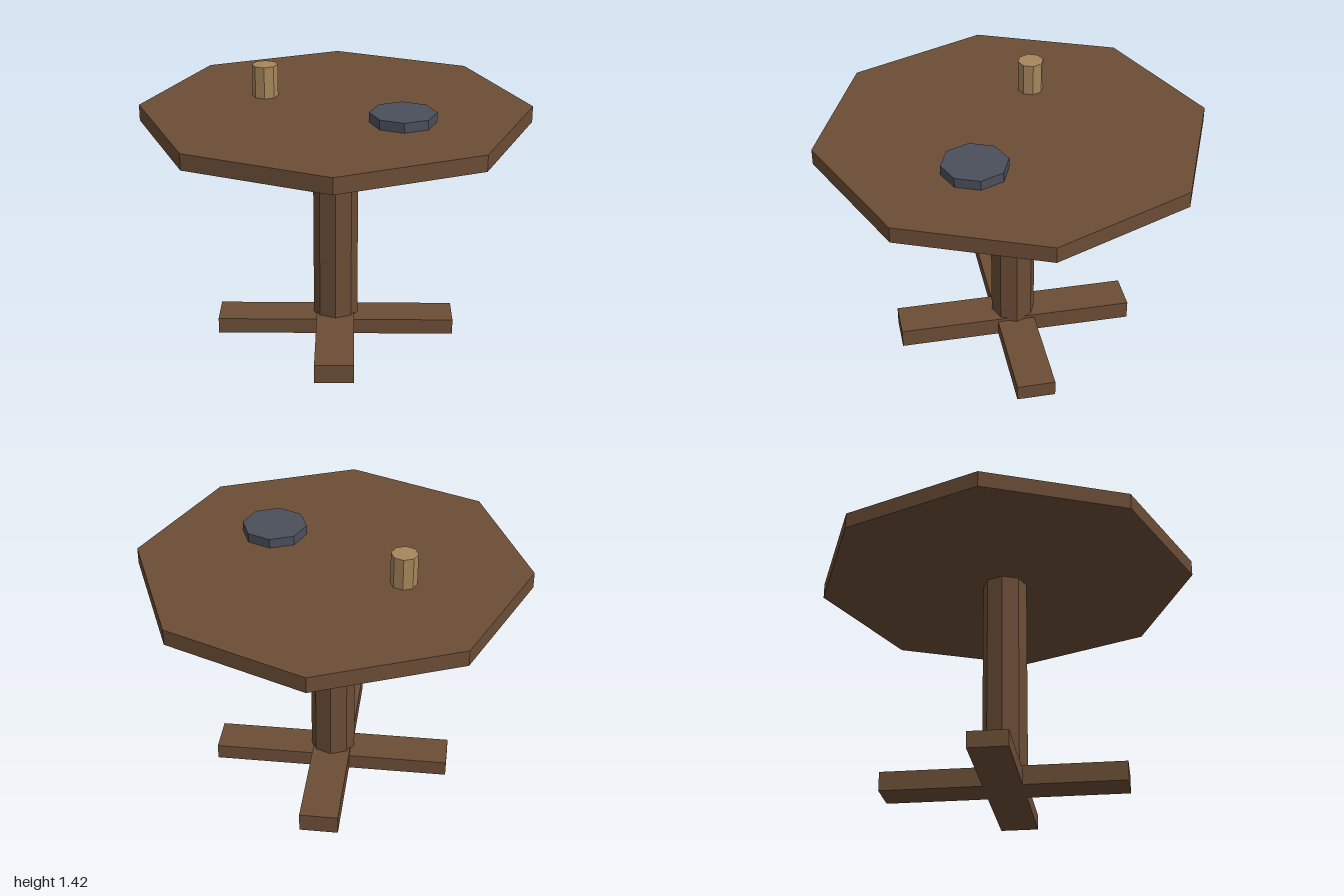
import * as THREE from 'three';

export function createModel() {
  const mat = (name, color) => {
    const m = new THREE.MeshStandardMaterial({ color });
    m.name = name;
    m.flatShading = true;
    return m;
  };
  const wood = mat('darkWood', 0x6b4d36);
  const tan = mat('tanWood', 0xa6875c);
  const slate = mat('slate', 0x4b4f5b);

  const group = new THREE.Group();
  group.name = 'table';

  const add = (name, geometry, material, x, y, z) => {
    const mesh = new THREE.Mesh(geometry, material);
    mesh.name = name;
    mesh.position.set(x, y, z);
    group.add(mesh);
  };

  // Upright octagonal prism between two heights, corners on the axes
  const prism = (name, material, radius, bottom, top, x = 0, z = 0) =>
    add(name, new THREE.CylinderGeometry(radius, radius, top - bottom, 8), material, x, (bottom + top) / 2, z);

  // Table top and column
  prism('tableTop', wood, 1, 1.167, 1.25);
  prism('column', wood, 0.117, 0.083, 1.167);

  // Crossed feet, the front-to-back one slightly taller
  add('sideFoot', new THREE.BoxGeometry(1.25, 0.083, 0.2), wood, 0, 0.0415, 0);
  add('frontFoot', new THREE.BoxGeometry(0.2, 0.1, 1.25), wood, 0, 0.05, 0);

  // Tableware
  prism('cup', tan, 0.067, 1.25, 1.417, -0.367, -0.167);
  prism('plate', slate, 0.167, 1.25, 1.3, 0.333, 0.25);

  return group;
}
